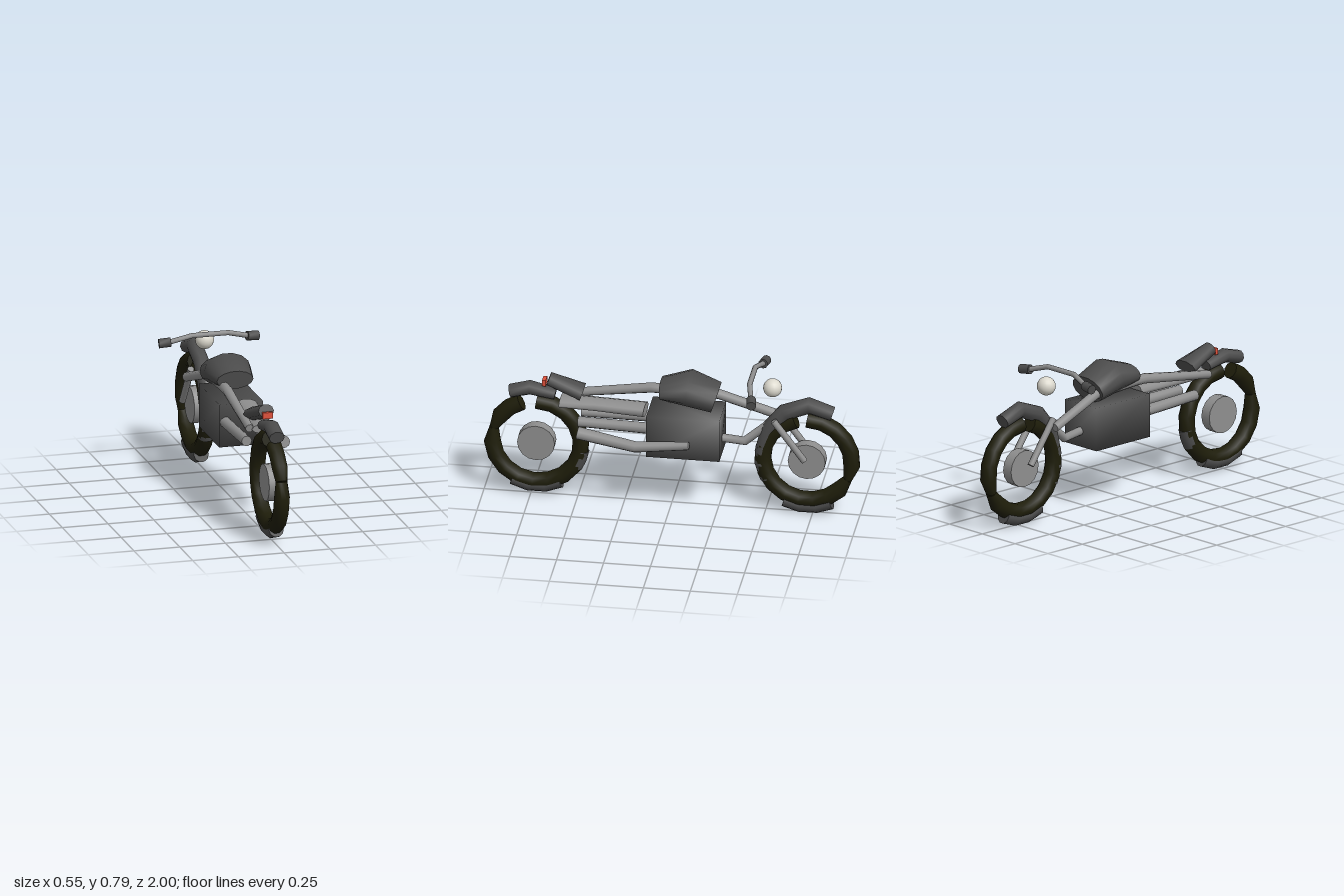
import * as THREE from 'three';
import { mergeVertices } from 'three/addons/utils/BufferGeometryUtils.js';

const material = (name, color) => {
  const m = new THREE.MeshStandardMaterial({ color });
  m.name = name;
  return m;
};

// Smooth skin over elliptical sections [x, y, z, sideRadius, heightRadius], with flat ends.
function loft(sections, sides = 10) {
  const pts = sections.map(s => new THREE.Vector3(s[0], s[1], s[2]));
  const pos = [], idx = [], last = pts.length - 1;
  const ring = i => {
    const start = pos.length / 3;
    const t = pts[Math.min(i + 1, last)].clone().sub(pts[Math.max(i - 1, 0)]).normalize();
    const ref = Math.abs(t.x) < 0.8 ? new THREE.Vector3(1, 0, 0) : new THREE.Vector3(0, 1, 0);
    const b = t.clone().cross(ref).normalize();
    const n = b.clone().cross(t);
    const rx = sections[i][3], ry = sections[i][4] ?? rx;
    for (let j = 0; j < sides; j++) {
      const a = (j / sides) * Math.PI * 2;
      const p = pts[i].clone().addScaledVector(n, Math.cos(a) * rx).addScaledVector(b, Math.sin(a) * ry);
      pos.push(p.x, p.y, p.z);
    }
    return start;
  };
  for (let i = 0; i <= last; i++) ring(i);
  for (let i = 0; i < last; i++) {
    for (let j = 0; j < sides; j++) {
      const k = (j + 1) % sides, a = i * sides, c = a + sides;
      idx.push(a + j, a + k, c + j, a + k, c + k, c + j);
    }
  }
  for (const end of [0, last]) {
    const s = ring(end);
    for (let j = 1; j < sides - 1; j++) {
      if (end) idx.push(s, s + j, s + j + 1);
      else idx.push(s, s + j + 1, s + j);
    }
  }
  const g = new THREE.BufferGeometry();
  g.setAttribute('position', new THREE.Float32BufferAttribute(pos, 3));
  g.setIndex(idx);
  g.computeVertexNormals();
  return g;
}

export function createModel() {
  const darkGrey = material('darkGrey', 0x4c4c4c);
  const steel = material('steel', 0x8e8e8e);
  const rubber = material('rubber', 0x1e1d0a);
  const red = material('tailRed', 0xe0523c);
  const cream = material('lampCream', 0xdcd9ce);

  const model = new THREE.Group();
  model.name = 'motorcycle';
  const add = (name, geometry, mat, parent = model) => {
    const m = new THREE.Mesh(geometry, mat);
    m.name = name;
    parent.add(m);
    return m;
  };
  const pipe = (name, sections, mat = steel, sides) => add(name, loft(sections, sides), mat);

  // Wheels: angles in degrees from the top, turning toward the outer end of the bike
  function wheel(name, zc, yc, dir, from, to, pinch, patches) {
    const g = new THREE.Group();
    g.name = name;
    model.add(g);
    const arc = (a0, a1, R, radius) => {
      const n = Math.max(2, Math.round((a1 - a0) / 20));
      const list = [];
      for (let i = 0; i <= n; i++) {
        const deg = a0 + ((a1 - a0) * i) / n, a = THREE.MathUtils.degToRad(deg);
        list.push([0, yc + R * Math.cos(a), zc + dir * R * Math.sin(a), ...radius(deg)]);
      }
      return loft(list);
    };
    const tyre = () => [0.043, 0.045];
    const neck = () => [0.032, 0.024];
    add('tyre', arc(from, pinch, 0.237, d => (d > pinch - 4 ? neck() : tyre())), rubber, g);
    add('tyre', arc(pinch, to, 0.237, d => (d < pinch + 4 ? neck() : tyre())), rubber, g);
    for (const [a0, a1, R] of patches) add('tyrePatch', arc(a0, a1, R, () => [0.041, 0.042]), darkGrey, g);
    const hub = add('hub', new THREE.CylinderGeometry(0.1, 0.1, 0.06, 16), steel, g);
    hub.rotation.z = Math.PI / 2;
    hub.position.set(0, yc, zc);
  }
  wheel('rearWheel', 0.72, 0.325, 1, 20, 360, 73, [[150, 210, 0.256], [238, 262, 0.242]]);
  wheel('frontWheel', -0.72, 0.325, -1, 0, 345, 114, [[152, 207, 0.27], [240, 285, 0.242]]);

  // Fenders and tail
  pipe('frontFender', [[0, 0.35, -0.48, 0.042, 0.042], [0, 0.49, -0.515, 0.043, 0.045],
    [0, 0.595, -0.6, 0.043, 0.045], [0, 0.645, -0.73, 0.043, 0.045], [0, 0.605, -0.855, 0.043, 0.038]], darkGrey);
  pipe('rearFender', [[0, 0.61, 0.86, 0.042, 0.035], [0, 0.638, 0.755, 0.043, 0.038],
    [0, 0.61, 0.62, 0.04, 0.03]], darkGrey);
  pipe('tailCowl', [[0, 0.632, 0.475, 0.075, 0.037], [0, 0.697, 0.655, 0.042, 0.036]], darkGrey);
  add('tailLight', new THREE.BoxGeometry(0.054, 0.034, 0.02), red).position.set(0, 0.68, 0.678);

  // Fuel tank
  pipe('tank', [[0, 0.688, 0.055, 0.1, 0.05], [0, 0.702, -0.09, 0.127, 0.09],
    [0, 0.655, -0.235, 0.112, 0.075]], darkGrey, 14);

  // Engine block with soft shading
  const block = new THREE.BoxGeometry(0.24, 0.235, 0.39);
  block.deleteAttribute('normal');
  block.deleteAttribute('uv');
  const softBlock = mergeVertices(block);
  softBlock.computeVertexNormals();
  add('engineBlock', softBlock, darkGrey).position.set(0.015, 0.462, -0.077);

  // Frame pipes
  pipe('mainFrame', [[-0.09, 0.53, -0.56, 0.025], [-0.065, 0.642, -0.24, 0.027], [-0.06, 0.655, 0.05, 0.027],
    [-0.06, 0.655, 0.12, 0.027], [-0.07, 0.585, 0.58, 0.022]]);
  pipe('downTube', [[0.02, 0.432, -0.25, 0.023], [0.015, 0.417, -0.39, 0.024], [0, 0.525, -0.52, 0.022]]);
  pipe('seatRail', [[0.035, 0.573, 0.135, 0.065, 0.033], [0.015, 0.575, 0.4, 0.06, 0.03],
    [0.01, 0.58, 0.59, 0.07, 0.026]]);
  for (const s of [-1, 1]) {
    pipe('swingArm', [[s * 0.07, 0.48, 0.1, 0.03], [s * 0.06, 0.487, 0.49, 0.028]]);
    pipe('frontFork', [[s * 0.07, 0.575, -0.55, 0.018], [s * 0.07, 0.35, -0.715, 0.018]]);
    pipe('handGrip', [[s * 0.208, 0.764, -0.452, 0.026], [s * 0.271, 0.757, -0.462, 0.026]], darkGrey);
  }
  pipe('exhaust', [[0.168, 0.443, -0.115, 0.022], [0.167, 0.415, 0.17, 0.03], [0.145, 0.463, 0.48, 0.034]]);

  // Handlebar and headlight
  pipe('handlebar', [[-0.21, 0.765, -0.452, 0.014], [-0.1, 0.797, -0.428, 0.014],
    [0.1, 0.797, -0.428, 0.014], [0.21, 0.765, -0.452, 0.014]]);
  add('headlight', new THREE.SphereGeometry(0.05, 18, 12), cream).position.set(0, 0.735, -0.535);

  return model;
}
